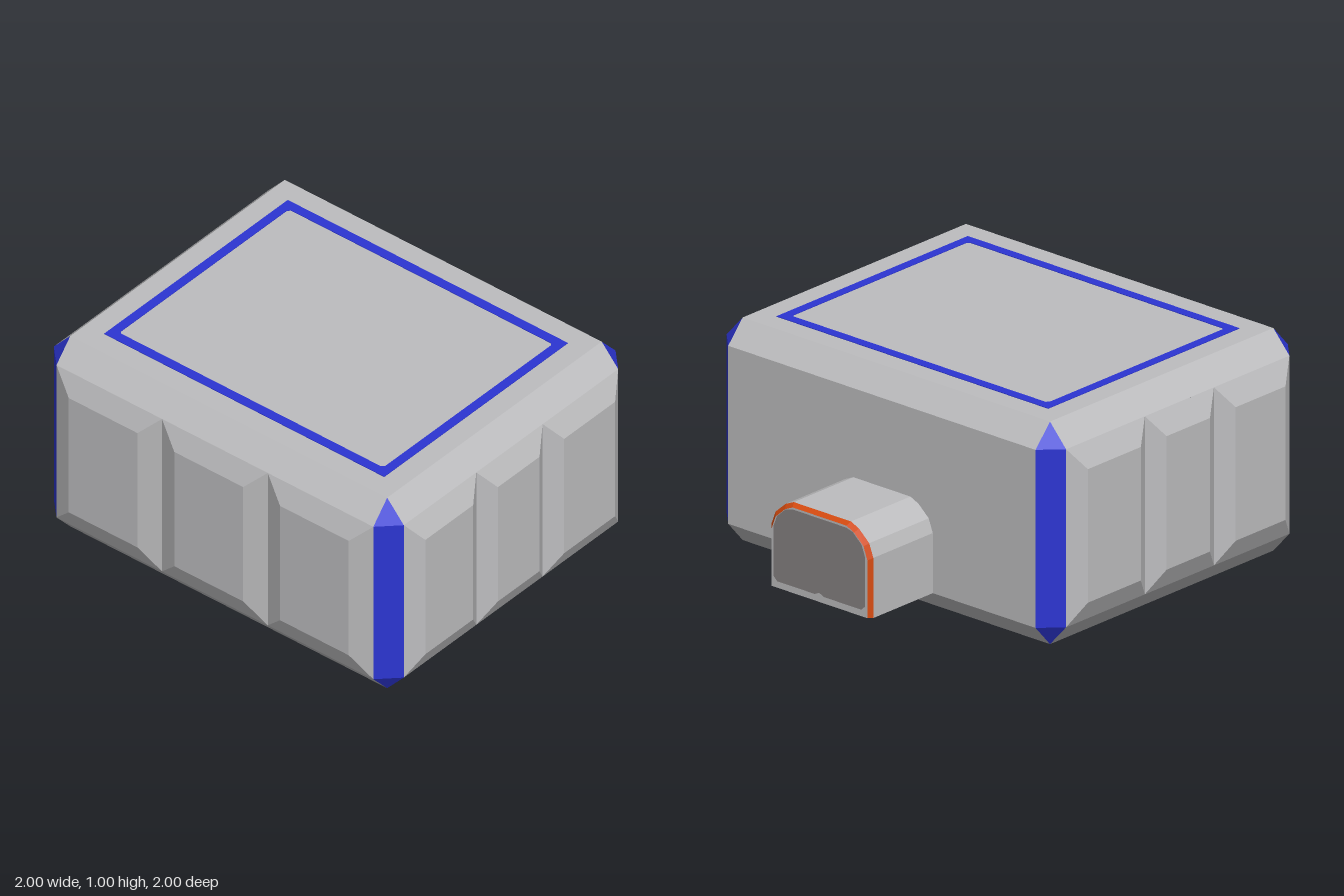
import * as THREE from 'three';

const mat = (name, color) => Object.assign(new THREE.MeshStandardMaterial({ color }), { name });

// Flat-shaded mesh from fans of corner points, each turned to face away from a centre
function faceMesh(name, material, centre, polygons) {
  const c = new THREE.Vector3(...centre);
  const pos = [];
  for (const poly of polygons) {
    const p = poly.map((a) => new THREE.Vector3(...a));
    const mid = p.reduce((s, v) => s.add(v), new THREE.Vector3()).divideScalar(p.length);
    const n = p[1].clone().sub(p[0]).cross(p[2].clone().sub(p[0]));
    if (n.dot(mid.sub(c)) < 0) p.reverse().unshift(p.pop());
    for (let i = 1; i < p.length - 1; i++) {
      for (const v of [p[0], p[i], p[i + 1]]) pos.push(v.x, v.y, v.z);
    }
  }
  const g = new THREE.BufferGeometry();
  g.setAttribute('position', new THREE.Float32BufferAttribute(pos, 3));
  g.computeVertexNormals();
  const mesh = new THREE.Mesh(g, material);
  mesh.name = name;
  return mesh;
}

export function createModel() {
  const grey = mat('light grey', 0xbdbdbf);
  const dark = mat('dark grey', 0x868282);
  const blue = mat('blue', 0x2c35d2);
  const orange = mat('orange', 0xd84c10);
  const model = new THREE.Group();
  model.name = 'moduleBox';

  // Body: inner (bevelled) and outer extents
  const centre = [-0.175, 0.5, 0];
  const xi = [-0.87, 0.52], xo = [-0.96, 0.61], zi = 0.86, zo = 0.95;
  const levels = [[0, 0.1], [1, 0.9]];
  const shell = [], corners = [];
  for (const [cap, edge] of levels) {
    shell.push([[xi[0], cap, -zi], [xi[1], cap, -zi], [xi[1], cap, zi], [xi[0], cap, zi]]);
    for (const s of [-1, 1]) {
      shell.push([[xi[0], cap, s * zi], [xi[1], cap, s * zi], [xi[1], edge, s * zo], [xi[0], edge, s * zo]]);
    }
    for (const k of [0, 1]) {
      shell.push([[xi[k], cap, -zi], [xi[k], cap, zi], [xo[k], edge, zi], [xo[k], edge, -zi]]);
      for (const s of [-1, 1]) {
        corners.push([[xi[k], cap, s * zi], [xo[k], edge, s * zi], [xi[k], edge, s * zo]]);
      }
    }
  }
  shell.push([[xo[1], 0.1, -zi], [xo[1], 0.1, zi], [xo[1], 0.9, zi], [xo[1], 0.9, -zi]]);
  for (const k of [0, 1]) for (const s of [-1, 1]) {
    corners.push([[xo[k], 0.1, s * zi], [xi[k], 0.1, s * zo], [xi[k], 0.9, s * zo], [xo[k], 0.9, s * zi]]);
  }
  model.add(faceMesh('bodyShell', grey, centre, shell));
  model.add(faceMesh('cornerGuards', blue, centre, corners));

  // Raised panels meeting in V grooves; place(u, y, raised) puts a point on the wall
  function panelRow(name, edges, inset, place) {
    const faces = [];
    for (let i = 0; i < edges.length - 1; i++) {
      const [a, b] = [edges[i], edges[i + 1]];
      const base = [[a, 0.1], [b, 0.1], [b, 0.9], [a, 0.9]].map(([u, y]) => place(u, y, false));
      const top = [[a + inset, 0.2], [b - inset, 0.2], [b - inset, 0.8], [a + inset, 0.8]]
        .map(([u, y]) => place(u, y, true));
      faces.push(top);
      for (let j = 0; j < 4; j++) {
        const k = (j + 1) % 4;
        faces.push([base[j], base[k], top[k], top[j]]);
      }
    }
    model.add(faceMesh(name, grey, centre, faces));
  }
  const xEdges = [xi[0], -0.4, 0.03, xi[1]];
  panelRow('frontPanels', xEdges, 0.08, (u, y, r) => [u, y, r ? 1 : zo]);
  panelRow('backPanels', xEdges, 0.08, (u, y, r) => [u, y, r ? -1 : -zo]);
  panelRow('sidePanels', [-zi, -0.287, 0.287, zi], 0.1, (u, y, r) => [r ? -1 : xo[0], y, u]);

  // Thin frame inlaid on the lid, with slightly cut inner corners
  const frame = new THREE.Shape([[-0.595, -0.76], [0.595, -0.76], [0.595, 0.76], [-0.595, 0.76]]
    .map((p) => new THREE.Vector2(...p)));
  const w = 0.55, d = 0.717, c = 0.012;
  frame.holes.push(new THREE.Path([[-w + c, -d], [-w, -d + c], [-w, d - c], [-w + c, d],
    [w - c, d], [w, d - c], [w, -d + c], [w - c, -d]].map((p) => new THREE.Vector2(...p))));
  const frameGeo = new THREE.ExtrudeGeometry(frame, { depth: 0.004, bevelEnabled: false });
  const lidFrame = new THREE.Mesh(frameGeo.rotateX(-Math.PI / 2), blue);
  lidFrame.name = 'lidFrame';
  lidFrame.position.set(-0.175, 0.999, 0);
  model.add(lidFrame);

  // Connector: arched section (z, y) lofted along x
  const half = [[0.285, 0.1], [0.285, 0.37], [0.262, 0.43], [0.205, 0.48], [0.16, 0.5]];
  const profile = [...half, ...half.map(([z, y]) => [-z, y]).reverse()];
  const section = (x, sz, sy) => profile.map(([z, y]) => [x, 0.1 + (y - 0.1) * sy, z * sz]);
  const root = section(0.6, 1, 1), lip = section(0.98, 1, 1), end = section(0.998, 0.94, 0.96);
  const tube = [end], trim = [];
  for (let i = 0; i < profile.length; i++) {
    const j = (i + 1) % profile.length;
    tube.push([root[i], root[j], lip[j], lip[i]]);
    const rim = [lip[i], lip[j], end[j], end[i]];
    // the flat underside stays untrimmed
    (j === 0 ? tube : trim).push(rim);
  }
  const mid = [0.8, 0.28, 0];
  model.add(faceMesh('connector', grey, mid, tube));
  model.add(faceMesh('connectorTrim', orange, mid, trim));

  // Dark end face with a small notch at the bottom middle
  const side = [[0.025, 0.13], [0.235, 0.13], [0.257, 0.15], [0.257, 0.37], [0.237, 0.422],
    [0.188, 0.466], [0.15, 0.476]];
  const plate = [[0, 0.142], ...side, ...side.map(([z, y]) => [-z, y]).reverse()];
  model.add(faceMesh('connectorEnd', dark, mid, [plate.map(([z, y]) => [1, y, z])]));

  return model;
}
